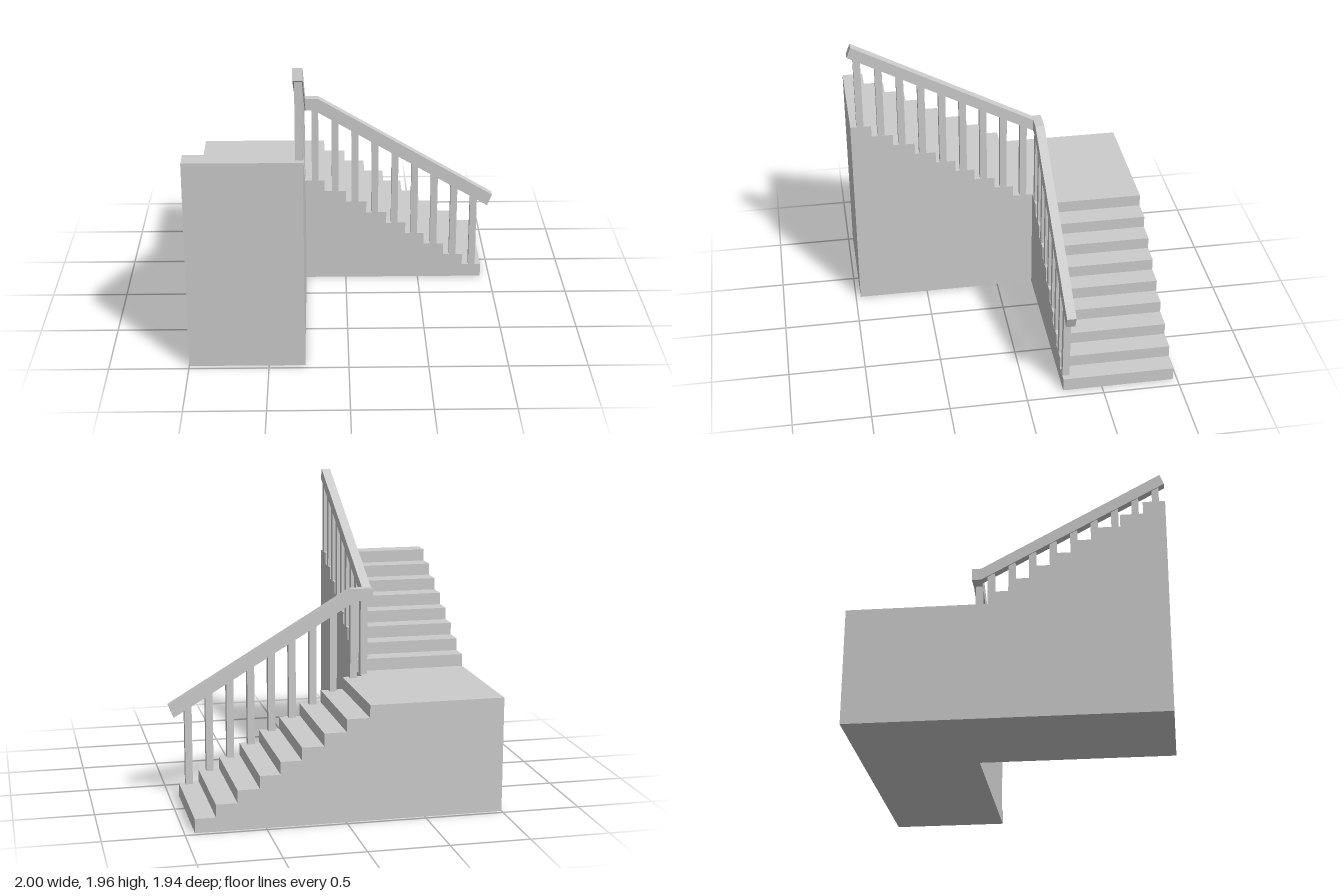
import * as THREE from 'three';

const material = new THREE.MeshStandardMaterial({ color: 0xcccccc, flatShading: true });

// Extrude a side profile: along z from a to b, or (alongX) along x with the profile lying in z/y.
function slab(name, points, a, b, alongX = false) {
  const shape = new THREE.Shape(points.map(([s, y]) => new THREE.Vector2(s, y)));
  const geometry = new THREE.ExtrudeGeometry(shape, { depth: b - a, bevelEnabled: false });
  if (alongX) geometry.rotateY(-Math.PI / 2).translate(b, 0, 0);
  else geometry.translate(0, 0, a);
  const mesh = new THREE.Mesh(geometry, material);
  mesh.name = name;
  return mesh;
}

// Square balusters rising from the treads into the underside of a sloping rail.
function balusters(name, positions, baseAt, railAt, place) {
  const group = new THREE.Group();
  group.name = name;
  for (const s of positions) {
    const base = baseAt(s), top = railAt(s) + 0.03;
    const mesh = new THREE.Mesh(new THREE.BoxGeometry(0.046, top - base, 0.046), material);
    mesh.name = 'baluster';
    mesh.position.copy(place(s, (base + top) / 2));
    group.add(mesh);
  }
  return group;
}

export function createModel() {
  const model = new THREE.Group();
  model.name = 'cornerStaircase';
  const landing = 0.735, rise = 0.081;
  const inner = -0.245, side = -0.274;

  // Lower flight with the corner landing: climbs towards -x
  const lowerEdges = [0.937, 0.808, 0.675, 0.538, 0.41, 0.278, 0.14, 0, -0.145];
  const lowerHeight = (i) => 0.09 + i * (landing - 0.09) / 8;
  const lower = [[-1, 0], [lowerEdges[0], 0]];
  lowerEdges.forEach((x, i) => {
    lower.push([x, lowerHeight(i)], [lowerEdges[i + 1] ?? -1, lowerHeight(i)]);
  });
  model.add(slab('lowerFlightAndLanding', lower, -0.972, inner));

  // Upper flight: climbs from the landing towards +z
  const upperEdges = [inner, -0.112, 0.016, 0.153, 0.28, 0.412, 0.55, 0.692, 0.832, 0.968];
  const upperHeight = (i) => landing + i * 0.08;
  const upper = [[inner, 0]];
  for (let i = 0; i < 9; i++) {
    upper.push([upperEdges[i], upperHeight(i)], [upperEdges[i + 1], upperHeight(i)]);
  }
  upper.push([0.968, 0]);
  model.add(slab('upperFlight', upper, -1, side, true));

  // Handrails, joined by a level piece at the corner
  model.add(slab('lowerHandrail', [
    [-0.33, 1.245], [-0.215, 1.245], [0.97, 0.54], [1, 0.62], [-0.185, 1.325], [-0.33, 1.325],
  ], -0.305, inner));
  model.add(slab('upperHandrail', [
    [inner, 1.245], [0.965, 1.89], [0.938, 1.96], [inner, 1.325],
  ], -0.33, -0.27, true));

  // One baluster per tread, plus one for each flight on the landing
  const lowerSpots = [], upperSpots = [];
  for (let i = 0; i < 9; i++) {
    lowerSpots.push(-0.208 + i * 0.1354);
    upperSpots.push(-0.18 + i * 0.1355);
  }
  model.add(balusters('lowerBalusters', lowerSpots,
    (x) => lowerHeight(lowerEdges.filter((e) => e > x).length - 1),
    (x) => 1.245 - Math.max(0, x + 0.215) * 0.595,
    (x, y) => new THREE.Vector3(x, y, inner - 0.024)));
  model.add(balusters('upperBalusters', upperSpots,
    (z) => upperHeight(upperEdges.filter((e) => e < z).length - 1),
    (z) => 1.245 + (z - inner) * 0.533,
    (z, y) => new THREE.Vector3(side - 0.024, y, z)));

  return model;
}
